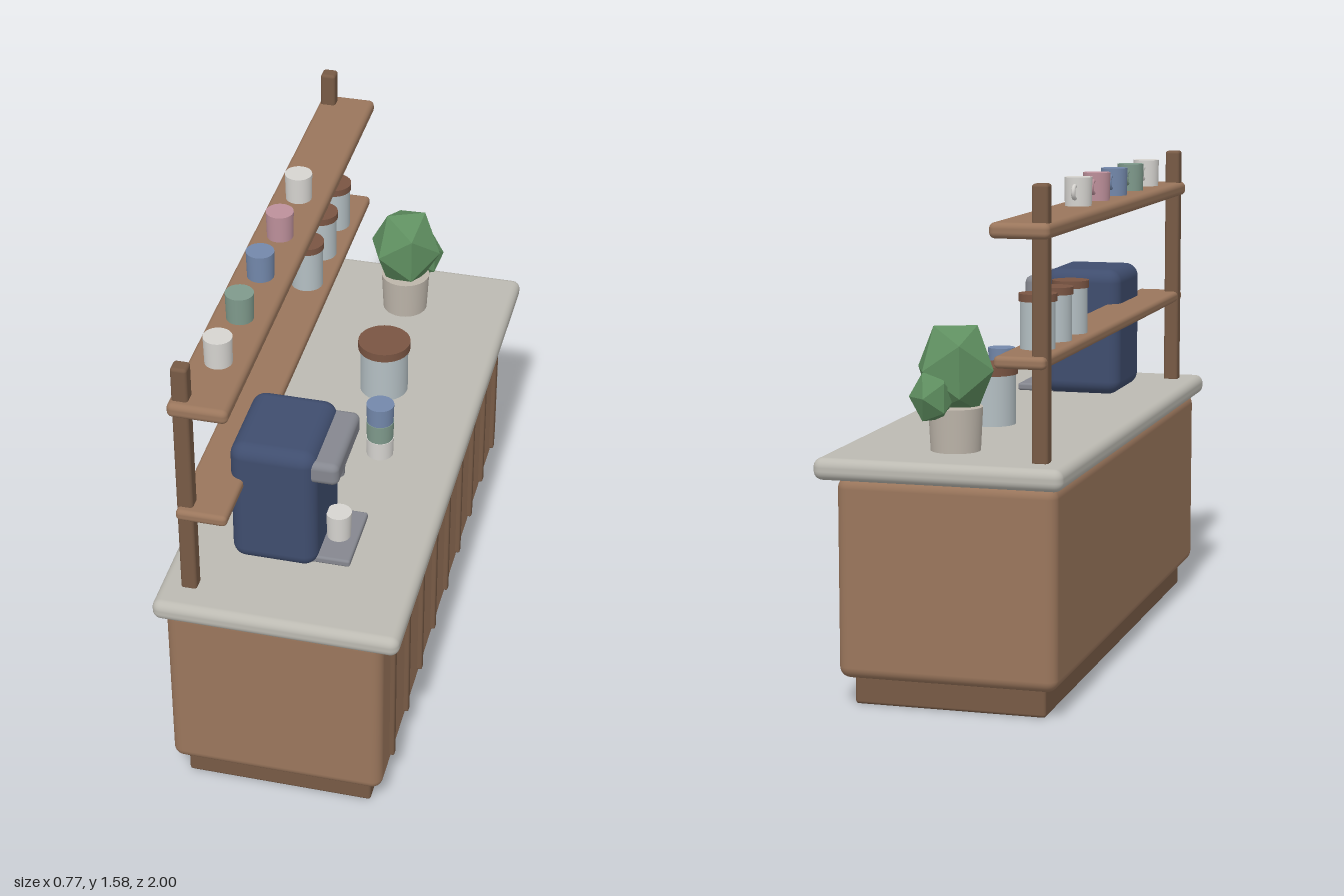
import * as THREE from 'three';
import { RoundedBoxGeometry } from 'three/addons/geometries/RoundedBoxGeometry.js';

const mat = (color, flatShading = false) => new THREE.MeshStandardMaterial({ color, flatShading });
const wood = mat(0x9a765c), darkWood = mat(0x775a45), stone = mat(0xbcbab2);
const navy = mat(0x3f4d6e), metal = mat(0x85878f), glass = mat(0xb4bfc3), lidWood = mat(0x7a5543);
const white = mat(0xd6d4d0), green = mat(0x7f9a8c), blue = mat(0x7388ab), pink = mat(0xbd909b);
const potClay = mat(0xbdb5aa), leaf = mat(0x5f8f60, true);

export function createModel() {
  const model = new THREE.Group();

  const add = (name, geometry, material, parent = model) => {
    const mesh = new THREE.Mesh(geometry, material);
    mesh.name = name;
    parent.add(mesh);
    return mesh;
  };
  // Rounded box given by its [min, max] on each axis
  const box = (name, material, [x0, x1], [y0, y1], [z0, z1], r) => {
    const mesh = add(name, new RoundedBoxGeometry(x1 - x0, y1 - y0, z1 - z0, 4, r), material);
    mesh.position.set((x0 + x1) / 2, (y0 + y1) / 2, (z0 + z1) / 2);
    return mesh;
  };
  // Upright cylinder standing on y0
  const cyl = (name, material, x, z, y0, y1, rTop, rBottom = rTop, parent = model) => {
    const mesh = add(name, new THREE.CylinderGeometry(rTop, rBottom, y1 - y0, 28), material, parent);
    mesh.position.set(x, (y0 + y1) / 2, z);
    return mesh;
  };
  const group = (name) => {
    const g = new THREE.Group();
    g.name = name;
    model.add(g);
    return g;
  };

  // Counter: plinth, cabinet, worktop and front slats
  box('plinth', darkWood, [-0.313, 0.283], [0, 0.09], [-0.915, 0.915], 0.01);
  box('cabinet', wood, [-0.355, 0.325], [0.085, 0.7], [-0.957, 0.957], 0.035);
  box('worktop', stone, [-0.383, 0.383], [0.695, 0.762], [-1, 1], 0.028);
  for (let i = -4; i <= 4; i++) {
    const z = i * 0.205;
    box('frontSlat', darkWood, [0.31, 0.34], [0.131, 0.667], [z - 0.0135, z + 0.0135], 0.006);
  }

  // Shelf rack
  for (const z of [-0.878, 0.878]) {
    box('shelfPost', darkWood, [-0.315, -0.265], [0.755, 1.577], [z - 0.025, z + 0.025], 0.01);
  }
  box('topShelf', wood, [-0.325, -0.142], [1.418, 1.465], [-0.928, 0.928], 0.018);
  box('lowerShelf', wood, [-0.313, -0.156], [1.04, 1.077], [-0.928, 0.928], 0.014);

  // Mugs on the top shelf, handles towards -z
  [white, green, blue, pink, white].forEach((material, i) => {
    const mug = group('mug');
    cyl('mugBody', material, 0, 0, 0, 0.09, 0.044, 0.042, mug);
    const handle = add('mugHandle', new THREE.TorusGeometry(0.019, 0.007, 8, 20), material, mug);
    handle.rotation.y = Math.PI / 2;
    handle.position.set(0, 0.045, -0.044);
    mug.position.set(-0.235, 1.465, 0.685 - i * 0.234);
  });

  // Storage jars: glass body with a wooden lid
  const jar = (x, y, z, r, height, lid) => {
    const g = group('jar');
    cyl('jarGlass', glass, 0, 0, 0, height, r, r, g);
    cyl('jarLid', lidWood, 0, 0, height, height + lid, r * 1.09, r * 1.09, g);
    g.position.set(x, y, z);
  };
  for (let i = 0; i < 3; i++) jar(-0.235, 1.077, -0.342 - i * 0.19, 0.053, 0.142, 0.023);
  jar(0.053, 0.762, -0.247, 0.08, 0.162, 0.029);

  // Stack of cups
  [white, green, blue].forEach((material, i) => {
    cyl('stackedCup', material, 0.122, 0.11, 0.762 + i * 0.0655, 0.762 + (i + 1) * 0.0655, 0.045, 0.043);
  });

  // Coffee machine
  box('machineBody', navy, [-0.204, 0.065], [0.762, 1.192], [0.414, 0.738], 0.045);
  box('brewHead', metal, [0.03, 0.134], [1.088, 1.164], [0.429, 0.725], 0.022);
  cyl('spout', metal, 0.094, 0.577, 1.028, 1.095, 0.028, 0.024);
  box('dripTray', metal, [0.02, 0.163], [0.762, 0.787], [0.448, 0.698], 0.008);
  cyl('coffeeCup', white, 0.1, 0.577, 0.787, 0.877, 0.04, 0.037);

  // Potted plant made of two faceted clumps
  cyl('plantPot', potClay, 0.015, -0.743, 0.762, 0.895, 0.083, 0.076);
  const clump = (x, y, z, r, turn) => {
    const mesh = add('foliage', new THREE.IcosahedronGeometry(r), leaf);
    mesh.scale.y = 1.2;
    mesh.rotation.y = turn;
    mesh.position.set(x, y, z);
  };
  clump(0.015, 1.01, -0.74, 0.126, 0.4);
  clump(0.062, 0.935, -0.82, 0.071, 0.9);

  return model;
}
